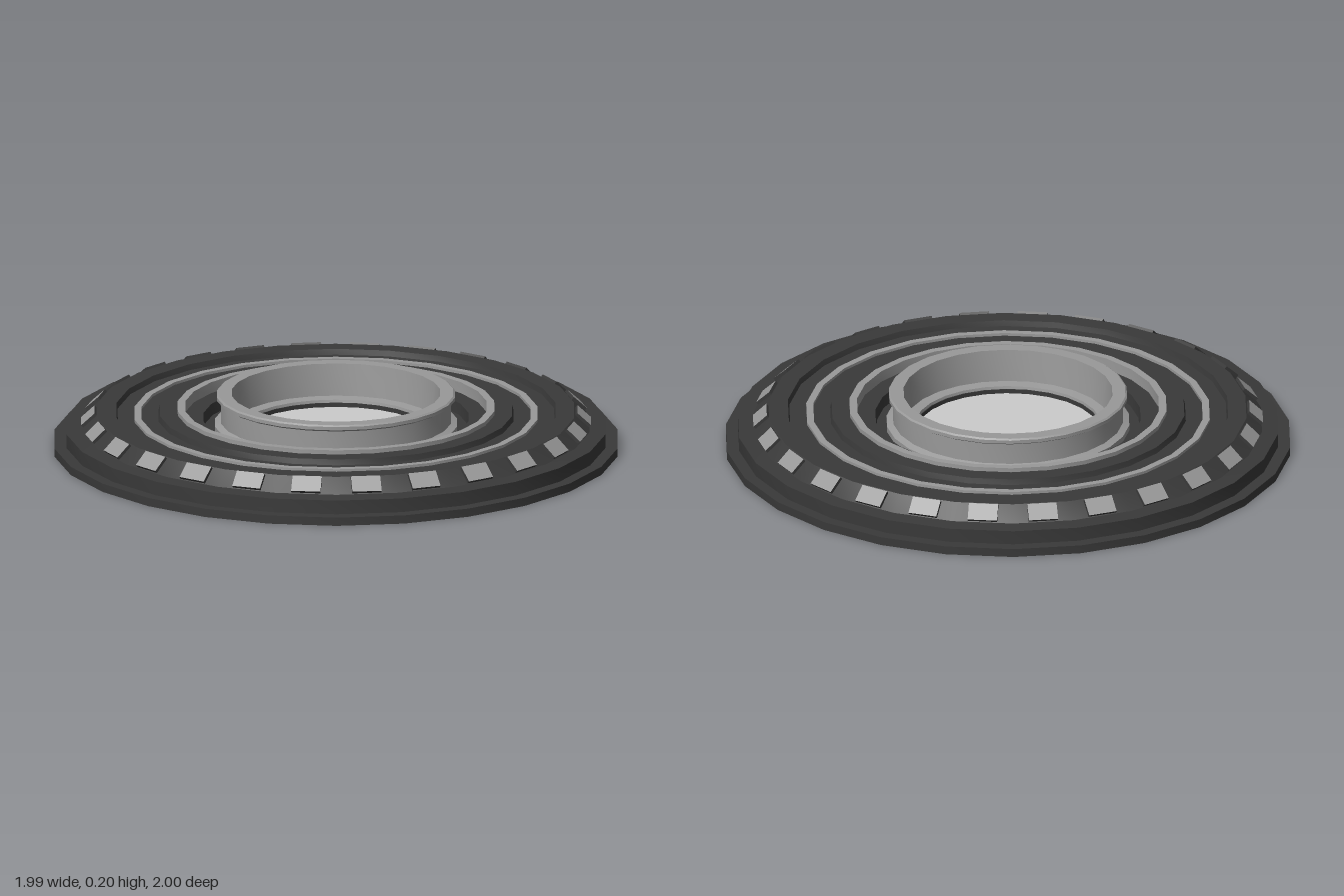
import * as THREE from 'three';
import { toCreasedNormals } from 'three/addons/utils/BufferGeometryUtils.js';

const SIDES = 26;
const dark = new THREE.MeshStandardMaterial({ color: 0x393939 });
const metal = new THREE.MeshStandardMaterial({ color: 0x999999 });
const pale = new THREE.MeshStandardMaterial({ color: 0xcccccc });

// Turned part from [radius, height] pairs, running up the outside and then inward
function turned(name, profile, material) {
  const points = profile.map(([r, y]) => new THREE.Vector2(r, y));
  const geometry = toCreasedNormals(new THREE.LatheGeometry(points, SIDES), 0.4);
  const mesh = new THREE.Mesh(geometry, material);
  mesh.name = name;
  return mesh;
}

export function createModel() {
  const model = new THREE.Group();
  model.name = 'steppedDisc';

  // Stepped body with a sloped rim and shallow concentric grooves
  model.add(turned('body', [
    [0, 0], [1, 0], [1, 0.03], [0.957, 0.03], [0.957, 0.08],
    [0.9, 0.085], [0.845, 0.135], [0.78, 0.135], [0.775, 0.115],
    [0.63, 0.115], [0.625, 0.135], [0.54, 0.135], [0.535, 0.11],
    [0.47, 0.11], [0.465, 0.07], [0.32, 0.07], [0.32, 0.04], [0, 0.04],
  ], dark));

  // Two raised bands on the top
  for (const [name, inner, outer, low, high] of [
    ['outerBand', 0.69, 0.715, 0.11, 0.125],
    ['innerBand', 0.535, 0.562, 0.11, 0.15],
  ]) {
    model.add(turned(name, [
      [outer, low], [outer, high], [inner, high], [inner, low],
    ], metal));
  }

  // Hollow collar with a lip, and a ledge around its floor
  model.add(turned('collar', [
    [0.43, 0.07], [0.43, 0.09], [0.408, 0.1], [0.408, 0.175], [0.422, 0.183],
    [0.422, 0.195], [0.416, 0.2], [0.37, 0.2], [0.36, 0.085],
    [0.325, 0.08], [0.32, 0.054],
  ], metal));

  // Pale floor inside the collar
  const floor = new THREE.Mesh(new THREE.CircleGeometry(0.325, SIDES), pale);
  floor.name = 'floor';
  floor.rotation.set(-Math.PI / 2, 0, Math.PI / 2);
  floor.position.y = 0.055;
  model.add(floor);

  // Sloped studs around the rim: dark block with a light outer face
  const teeth = new THREE.Group();
  teeth.name = 'rimStuds';
  const materials = [dark, dark, dark, dark, metal, dark];
  const blockGeometry = new THREE.BoxGeometry(0.104, 0.064, 0.02);
  for (let i = 0; i < SIDES; i++) {
    const pivot = new THREE.Group();
    pivot.name = 'rimStud';
    pivot.rotation.y = ((i + 0.5) / SIDES) * Math.PI * 2;
    const block = new THREE.Mesh(blockGeometry, materials);
    block.name = 'studBlock';
    block.position.set(0, 0.11, 0.868);
    block.rotation.x = -0.83;
    pivot.add(block);
    teeth.add(pivot);
  }
  model.add(teeth);

  return model;
}
